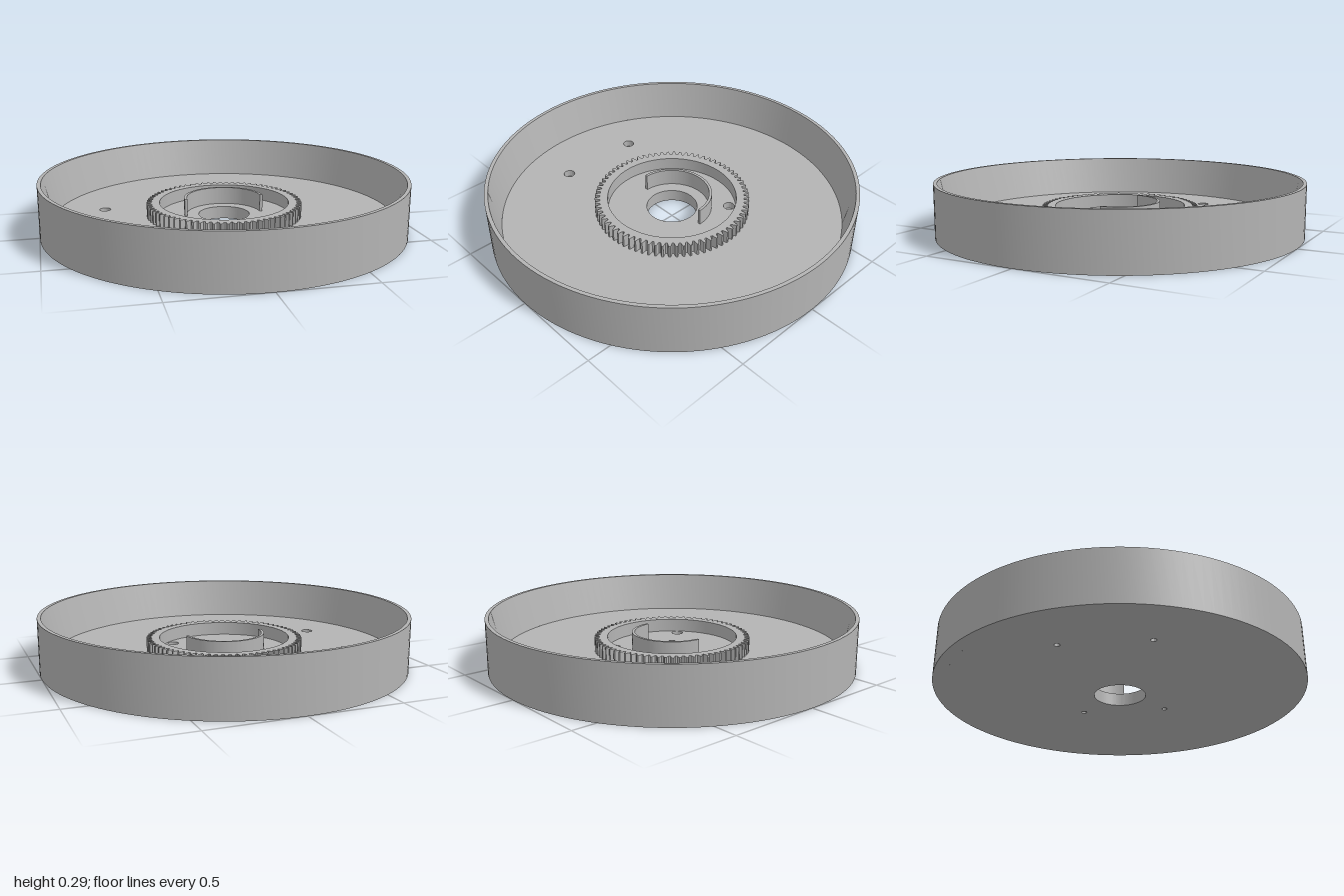
import * as THREE from 'three';
import { toCreasedNormals } from 'three/addons/utils/BufferGeometryUtils.js';

const FLOOR = 0.07, BORE = 0.14;
const SCREWS = [[-0.635, 0.23], [-0.635, -0.23], [0.22, 0.23], [0.22, -0.23]];

export function createModel() {
  const group = new THREE.Group();
  const grey = new THREE.MeshStandardMaterial({ color: 0xb3b3b3 });
  grey.name = 'grey plastic';

  const add = (name, geometry) => {
    const mesh = new THREE.Mesh(toCreasedNormals(geometry, 0.5), grey);
    mesh.name = name;
    group.add(mesh);
  };

  // Extrudes a plan shape (x, -z) upward between two heights
  const slab = (name, shape, y0, y1, curveSegments = 48) => {
    const g = new THREE.ExtrudeGeometry(shape, { depth: y1 - y0, bevelEnabled: false, curveSegments });
    g.rotateX(-Math.PI / 2);
    g.translate(0, y0, 0);
    add(name, g);
  };

  const circle = (Type, x, y, r) => new Type().absarc(x, y, r, 0, Math.PI * 2, false);

  // Floor disc with a central bore and screw holes of the given radius
  const floorShape = (screwRadius) => {
    const s = circle(THREE.Shape, 0, 0, 0.935);
    s.holes.push(circle(THREE.Path, 0, 0, BORE));
    for (const [x, y] of SCREWS) s.holes.push(circle(THREE.Path, x, y, screwRadius));
    return s;
  };
  slab('lowerFloor', floorShape(0.015), 0, 0.03, 96);
  slab('counterboredFloor', floorShape(0.031), 0.03, FLOOR, 96);

  // Outer wall, tapering on the inside towards a thin lip
  const wall = [[0.935, 0], [1, 0], [1, 0.29], [0.98, 0.29], [0.935, FLOOR]]
    .map(([r, y]) => new THREE.Vector2(r, y));
  add('outerWall', new THREE.LatheGeometry(wall, 128));

  // Ring gear standing on the floor
  const TEETH = 72, TIP = 0.426, ROOT = 0.398;
  const points = [];
  const toothProfile = [[-0.36, ROOT], [-0.24, 0.413], [-0.12, TIP], [0.12, TIP], [0.24, 0.413], [0.36, ROOT]];
  for (let i = 0; i < TEETH; i++) {
    for (const [t, r] of toothProfile) {
      const a = ((i + t) / TEETH) * Math.PI * 2;
      points.push(new THREE.Vector2(Math.cos(a) * r, Math.sin(a) * r));
    }
  }
  const gear = new THREE.Shape(points);
  gear.holes.push(circle(THREE.Path, 0, 0, 0.355));
  slab('ringGear', gear, FLOOR, 0.142);

  // Half-round collar behind the bore
  const collar = new THREE.Shape();
  collar.absarc(0, 0, 0.22, 0, Math.PI, false);
  collar.absarc(0, 0, 0.205, Math.PI, 0, true);
  collar.closePath();
  slab('halfCollar', collar, FLOOR, 0.165);

  return group;
}
